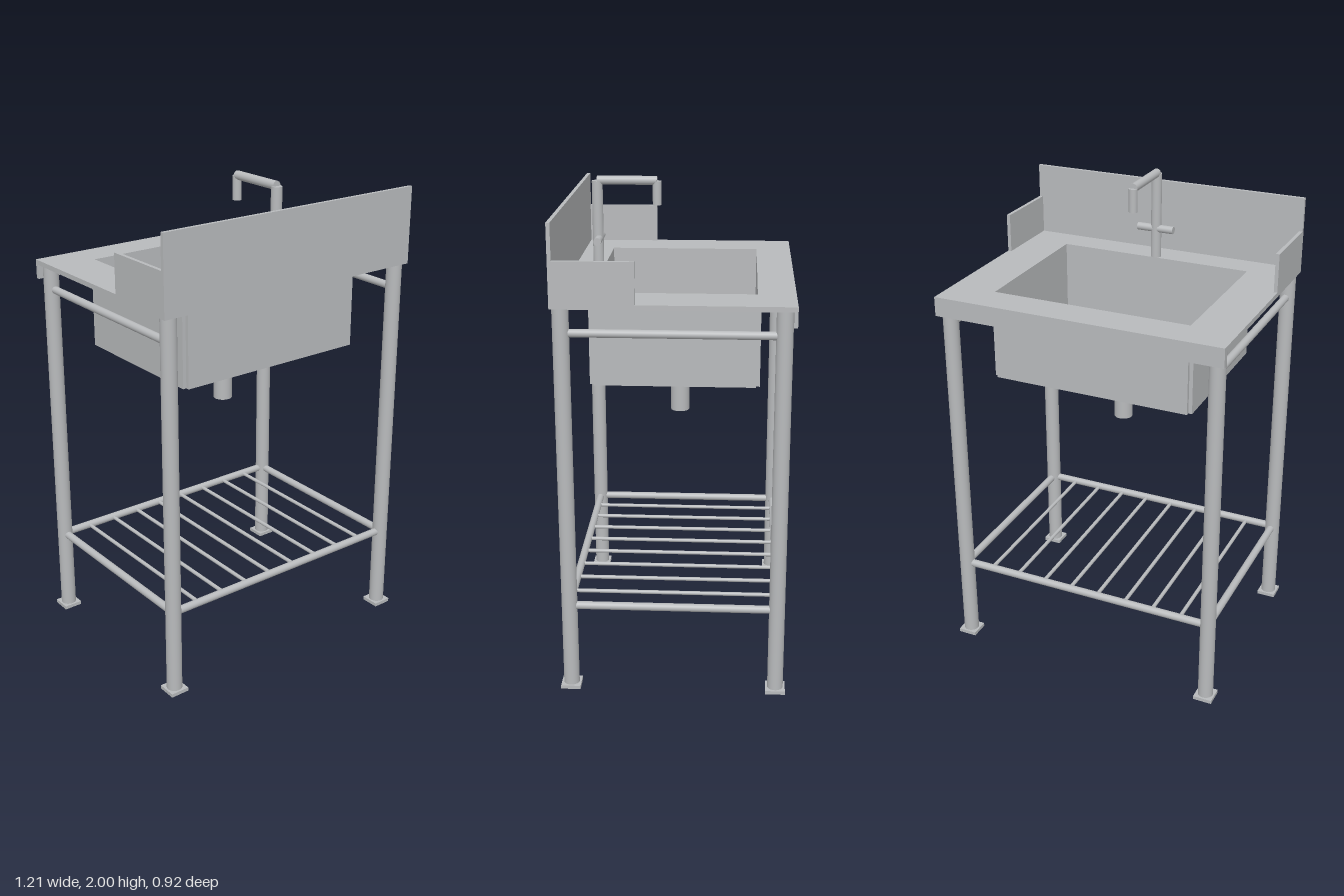
import * as THREE from 'three';

const steel = new THREE.MeshStandardMaterial({ color: 0xb8babc });
steel.name = 'brushed steel';

export function createModel() {
  const model = new THREE.Group();
  model.name = 'utilitySink';

  const add = (name, geometry, x, y, z) => {
    const mesh = new THREE.Mesh(geometry, steel);
    mesh.name = name;
    mesh.position.set(x, y, z);
    model.add(mesh);
    return mesh;
  };
  // Box given by its minimum and maximum on each axis
  const box = (name, x0, x1, y0, y1, z0, z1) =>
    add(name, new THREE.BoxGeometry(x1 - x0, y1 - y0, z1 - z0),
      (x0 + x1) / 2, (y0 + y1) / 2, (z0 + z1) / 2);
  // Round bar centred on a point and running along one axis
  const bar = (name, axis, radius, length, x, y, z) => {
    const geometry = new THREE.CylinderGeometry(radius, radius, length, 24);
    if (axis === 'x') geometry.rotateZ(Math.PI / 2);
    if (axis === 'z') geometry.rotateX(Math.PI / 2);
    return add(name, geometry, x, y, z);
  };

  const W = 0.607, D = 0.458, T = 0.015; // half width, half depth, sheet
  const bx = 0.417, bz = 0.316, cz = 0.005; // basin opening and its centre
  const top = 1.62, under = 1.6, floor = 1.253;

  // Worktop with a rectangular opening
  const rect = (path, x0, x1, y0, y1) =>
    path.moveTo(x0, y0).lineTo(x1, y0).lineTo(x1, y1).lineTo(x0, y1).closePath();
  const outline = rect(new THREE.Shape(), -W, W, -D, D);
  outline.holes.push(rect(new THREE.Path(), -bx, bx, -cz - bz, -cz + bz));
  const slab = new THREE.ExtrudeGeometry(outline, { depth: top - under, bevelEnabled: false });
  slab.rotateX(-Math.PI / 2);
  add('worktop', slab, 0, under, 0);
  box('worktopLip', -W, W, 1.54, under, -D, -D + T);

  // Splash panels
  box('tallSplash', -W, W, top, 1.92, D - T, D);
  for (const s of [-1, 1]) {
    const x = s * (W - T / 2);
    box('sideSplash', x - T / 2, x + T / 2, top, 1.78, 0.14, D - T);
  }

  // Basin: four sheets with open outer corners, a floor and a drain
  for (const s of [-1, 1]) {
    const x = s * (bx + T / 2), z = cz + s * (bz + T / 2);
    box('basinSideWall', x - T / 2, x + T / 2, floor, under, cz - bz, cz + bz);
    box('basinEndWall', -bx, bx, floor, under, z - T / 2, z + T / 2);
  }
  box('basinFloor', -bx, bx, floor, floor + T, cz - bz, cz + bz);
  bar('drainPipe', 'y', 0.039, floor - 1.015, 0, (floor + 1.015) / 2, cz);

  // Legs, feet and rails
  const lx = 0.566, legZ = [-0.412, 0.422], midZ = 0.005, span = 0.834;
  for (const z of legZ) {
    for (const x of [-lx, lx]) {
      bar('leg', 'y', 0.032, under - 0.01, x, (under + 0.01) / 2, z);
      box('foot', x - 0.04, x + 0.04, 0, 0.015, z - 0.04, z + 0.04);
    }
    bar('lowerLongRail', 'x', 0.016, 2 * lx, 0, 0.365, z);
  }
  for (const x of [-lx, lx]) {
    bar('lowerSideRail', 'z', 0.016, span, x, 0.365, midZ);
    bar('upperSideRail', 'z', 0.016, span, x, 1.5, midZ);
  }

  // Shelf bars
  const count = 8;
  for (let i = 1; i <= count; i++) {
    bar('shelfBar', 'z', 0.008, span, -lx + (2 * lx * i) / (count + 1), 0.365, midZ);
  }

  // Tap
  const tz = 0.34;
  bar('tapPost', 'y', 0.022, 1.98 - top, 0, (1.98 + top) / 2, tz);
  bar('tapSpout', 'z', 0.018, tz - 0.098, 0, 1.982, (tz + 0.098) / 2);
  bar('tapOutlet', 'y', 0.018, 0.096, 0, 1.932, 0.098);
  bar('tapHandle', 'x', 0.016, 0.16, 0, 1.745, 0.336);

  return model;
}
